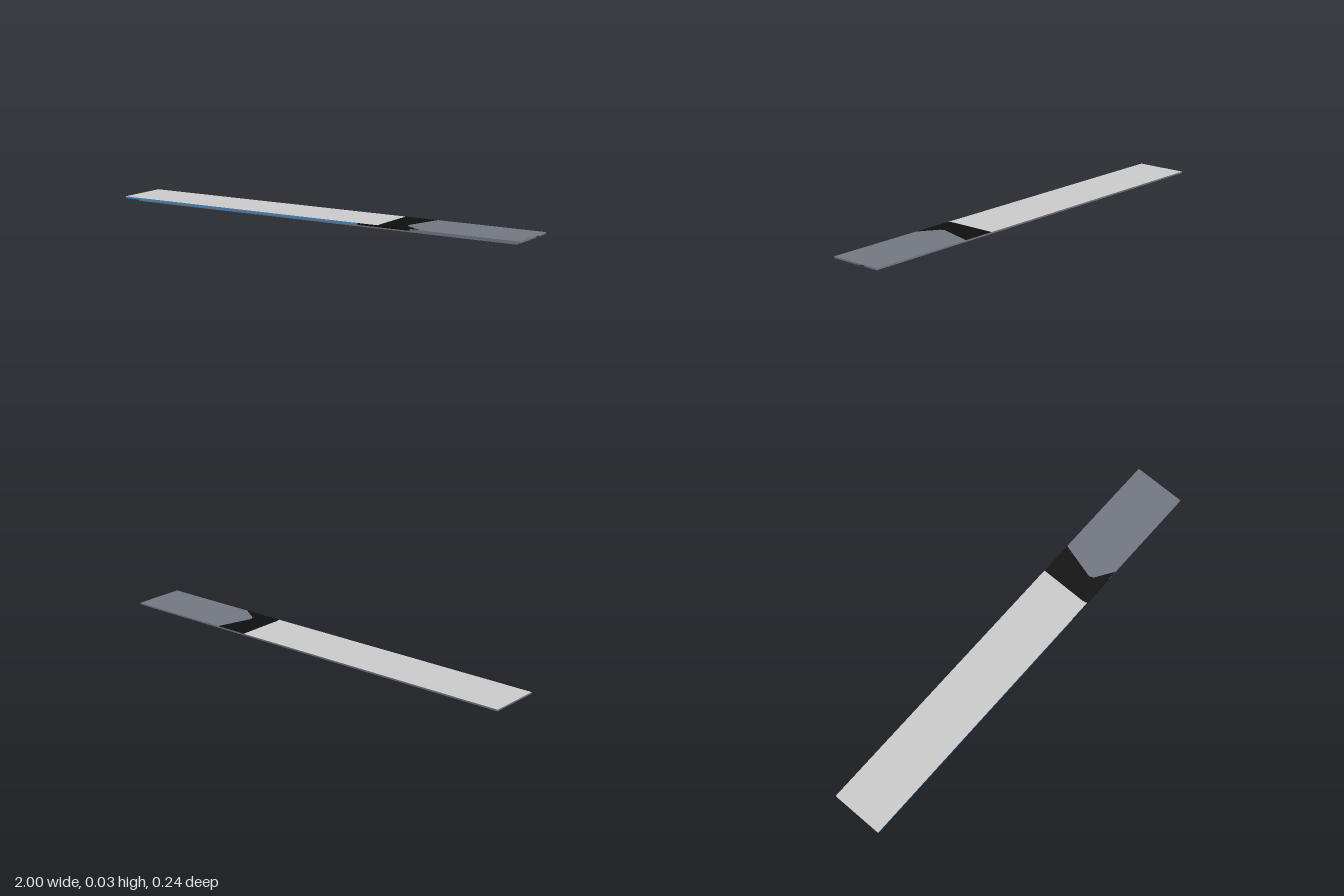
import * as THREE from 'three';

const mat = (name, color) => {
  const m = new THREE.MeshStandardMaterial({ color });
  m.name = name;
  return m;
};

export function createModel() {
  const slate = mat('slate grey', 0x717680);
  const light = mat('light grey', 0xc9c9c9);
  const black = mat('black', 0x0e0e0e);
  const blue = mat('blue', 0x3f8fd0);

  const group = new THREE.Group();
  const add = (name, geometry, material) => {
    const mesh = new THREE.Mesh(geometry, material);
    mesh.name = name;
    group.add(mesh);
    return mesh;
  };
  // box given by its limits on each axis
  const box = (name, [x0, x1], [y0, y1], [z0, z1], material) => {
    const mesh = add(name, new THREE.BoxGeometry(x1 - x0, y1 - y0, z1 - z0), material);
    mesh.position.set((x0 + x1) / 2, (y0 + y1) / 2, (z0 + z1) / 2);
    return mesh;
  };
  // flat horizontal face from (x, z) corners, facing up (1) or down (-1)
  const face = (name, corners, y, up, material) => {
    const shape = new THREE.Shape(corners.map(([x, z]) => new THREE.Vector2(x, -up * z)));
    const geometry = new THREE.ShapeGeometry(shape).rotateX(-up * Math.PI / 2);
    add(name, geometry, material).position.y = y;
  };

  // deck slab and its painted faces
  const W = 0.12, TOP = 0.025, UNDER = 0.017;
  box('deck', [-0.9995, 0.9995], [UNDER + 0.0004, TOP - 0.0004], [-W + 0.0004, W - 0.0004], slate);
  face('lightTop', [[-1, -W], [0.345, -W], [0.345, 0.1], [0.35, W], [-1, W]], TOP, 1, light);
  face('blackTop', [[0.345, -W], [0.5, -W], [0.452, 0.045], [0.46, 0.065], [0.545, W], [0.35, W], [0.345, 0.1]], TOP, 1, black);
  face('slateTop', [[0.5, -W], [1, -W], [1, W], [0.545, W], [0.46, 0.065], [0.452, 0.045]], TOP, 1, slate);
  face('blackUnderside', [[-1, -W], [-0.385, -W], [-0.41, 0], [-0.42, W], [-1, W]], UNDER, -1, black);

  // edge colours
  box('blueFrontEdge', [-0.999, 0.25], [UNDER, TOP - 0.0002], [W - 0.001, W], blue);
  box('blackFrontEdge', [0.25, 0.5], [UNDER, TOP - 0.0002], [W - 0.001, W], black);
  box('blackEndMark', [0.999, 1], [0.019, 0.0215], [-0.052, -0.03], black);

  // two long channel rails: outer web with a bottom flange
  for (const s of [-1, 1]) {
    const span = (a, b) => [Math.min(s * a, s * b), Math.max(s * a, s * b)];
    box('railWeb', [-0.96, 0.96], [0.003, UNDER + 0.0004], span(0.063, 0.07), slate);
    box('railFlange', [-0.96, 0.96], [0, 0.003], span(0.052, 0.069), slate);
  }

  // paired cross members
  for (const x of [-0.79, 0, 0.79]) {
    for (const dx of [-0.017, 0.017]) {
      box('crossBar', [x + dx - 0.006, x + dx + 0.006], [0.001, UNDER + 0.0004], [-0.064, 0.064], slate);
    }
  }
  return group;
}
